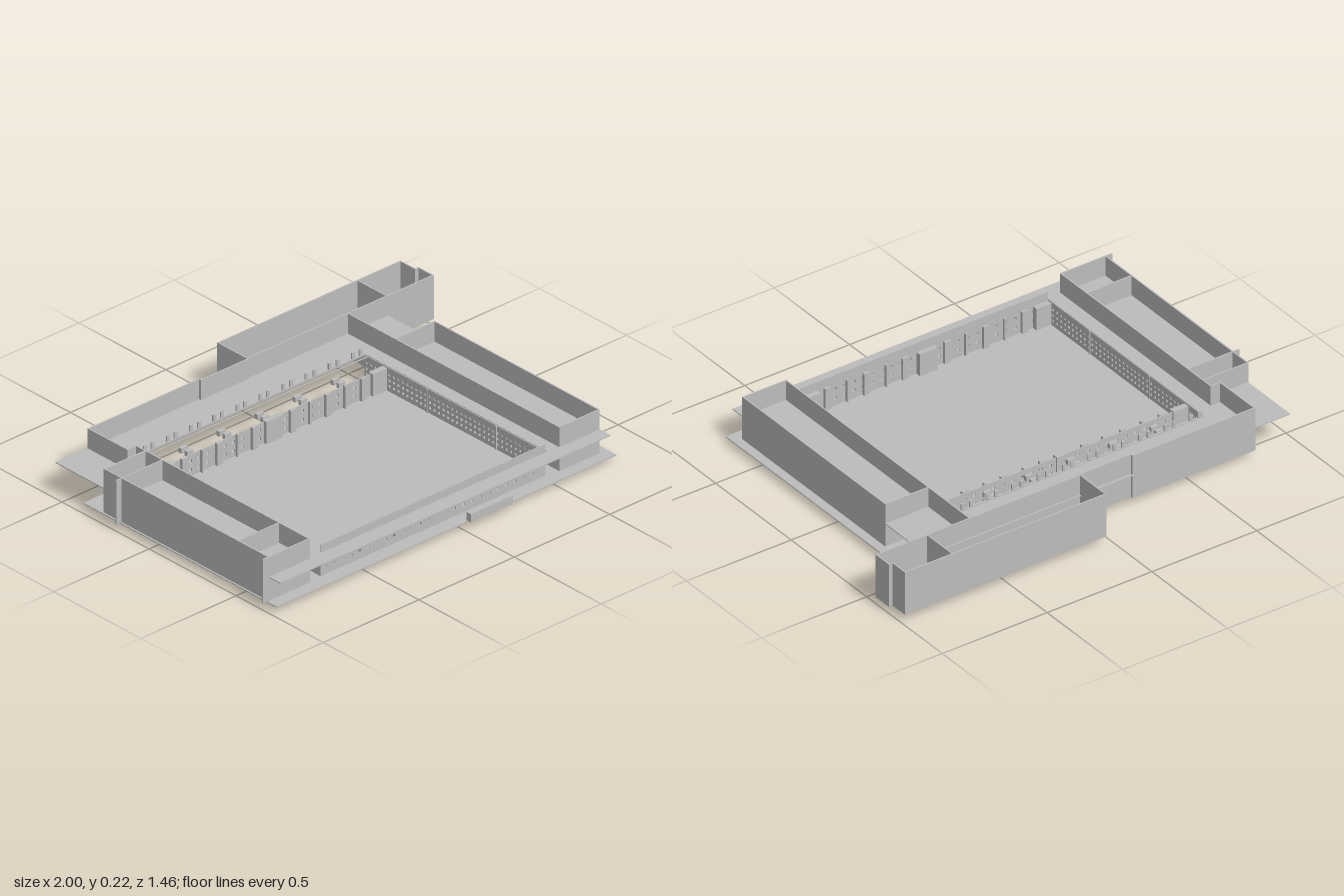
import * as THREE from 'three';

const grey = new THREE.MeshStandardMaterial({ color: 0xbcbcbc, side: THREE.DoubleSide });
grey.name = 'plainGrey';

const T = 0.006; // wall thickness
const BASE = 0.03, TOP = 0.225, DECK = 0.135;

function box(parent, name, x0, x1, y0, y1, z0, z1) {
  const mesh = new THREE.Mesh(new THREE.BoxGeometry(x1 - x0, y1 - y0, z1 - z0), grey);
  mesh.position.set((x0 + x1) / 2, (y0 + y1) / 2, (z0 + z1) / 2);
  mesh.name = name;
  parent.add(mesh);
}

// Axis-aligned walls following a list of [x, z] points
function walls(parent, name, points) {
  const h = T / 2;
  for (let i = 1; i < points.length; i++) {
    const [ax, az] = points[i - 1], [bx, bz] = points[i];
    box(parent, name, Math.min(ax, bx) - h, Math.max(ax, bx) + h, BASE, TOP,
      Math.min(az, bz) - h, Math.max(az, bz) + h);
  }
}

function rectangle(target, x0, y0, x1, y1) {
  target.moveTo(x0, y0);
  target.lineTo(x1, y0);
  target.lineTo(x1, y1);
  target.lineTo(x0, y1);
  target.closePath();
  return target;
}

// Thin wall pierced by rows of small windows
function piercedWall(name, length, y0, y1, columns, rows, size) {
  const shape = rectangle(new THREE.Shape(), 0, y0, length, y1);
  for (let c = 0; c < columns; c++) {
    for (const y of rows) {
      const x = (c + 0.5) * length / columns - size / 2;
      shape.holes.push(rectangle(new THREE.Path(), x, y, x + size, y + size));
    }
  }
  const mesh = new THREE.Mesh(
    new THREE.ExtrudeGeometry(shape, { depth: 0.004, bevelEnabled: false }), grey);
  mesh.name = name;
  return mesh;
}

export function createModel() {
  const model = new THREE.Group();
  model.name = 'courtyardBuilding';

  // Ground sheet
  box(model, 'ground', -0.98, 0.80, 0.027, 0.031, -0.40, 0.71);

  // Upper deck with the courtyard opening
  const deckShape = rectangle(new THREE.Shape(), -0.97, -0.72, 0.76, 0.57);
  deckShape.holes.push(rectangle(new THREE.Path(), -0.69, -0.65, 0.49, 0.39));
  const deck = new THREE.Mesh(
    new THREE.ExtrudeGeometry(deckShape, { depth: 0.004, bevelEnabled: false }), grey);
  deck.rotation.x = -Math.PI / 2;
  deck.position.y = DECK - 0.002;
  deck.name = 'deck';
  model.add(deck);

  // Wing on the model's right
  const rightWing = new THREE.Group();
  rightWing.name = 'rightWing';
  walls(rightWing, 'rightWingWall', [[-0.997, 0.652], [-0.757, 0.652], [-0.757, -0.34], [-0.802, -0.34]]);
  walls(rightWing, 'rightWingOuterWall', [[-0.97, 0.652], [-0.97, -0.288], [-0.757, -0.288]]);
  walls(rightWing, 'rightWingDivider', [[-0.97, 0.48], [-0.757, 0.48]]);
  walls(rightWing, 'rightWingDivider', [[-0.997, -0.19], [-0.757, -0.19]]);
  model.add(rightWing);

  // Wing on the model's left
  const leftWing = new THREE.Group();
  leftWing.name = 'leftWing';
  walls(leftWing, 'leftWingWall',
    [[0.552, -0.56], [0.552, 0.655], [0.757, 0.655], [0.757, -0.287], [0.552, -0.287]]);
  model.add(leftWing);

  // Back wall and the long rear annex
  const rear = new THREE.Group();
  rear.name = 'rearBuilding';
  walls(rear, 'rearWall',
    [[-0.802, -0.34], [-0.802, -0.565], [-0.222, -0.565], [-0.222, -0.555], [0.025, -0.555]]);
  walls(rear, 'annexWall', [[0.025, -0.56], [0.025, -0.727], [0.98, -0.727],
    [0.98, -0.643], [0.997, -0.643], [0.997, -0.56], [0.025, -0.56]]);
  walls(rear, 'annexDivider', [[0.755, -0.727], [0.755, -0.56]]);
  model.add(rear);

  // Courtyard facades
  const court = new THREE.Group();
  court.name = 'courtyard';
  const rows = [0.05, 0.075, 0.1];
  for (const x of [-0.692, 0.485]) {
    const side = piercedWall('courtyardSideWall', 1.035, 0.005, DECK, 40, rows, 0.01);
    side.rotation.y = -Math.PI / 2;
    side.position.set(x + 0.004, 0, -0.39);
    court.add(side);
    for (const z of [-0.03, 0.365]) {
      box(court, 'sidePost', x - 0.004, x + 0.008, 0.0, DECK, z - 0.004, z + 0.004);
    }
  }
  const front = piercedWall('courtyardFrontWall', 1.175, 0.0, 0.17, 26, [0.06, 0.1], 0.012);
  front.position.set(-0.69, 0, 0.643);
  court.add(front);
  const back = piercedWall('courtyardBackWall', 1.175, 0.02, 0.125, 26, [0.05, 0.09], 0.014);
  back.position.set(-0.69, 0, -0.28);
  court.add(back);

  // Pilasters, mirrored about the courtyard's centre line: [offset, width]
  const centre = -0.103;
  const pilasters = [[0, 0.085], [0.1, 0.028], [0.19, 0.008], [0.285, 0.028],
    [0.375, 0.008], [0.47, 0.028], [0.552, 0.075]];
  for (const [offset, width] of pilasters) {
    for (const s of offset ? [-1, 1] : [1]) {
      const x = centre + s * offset, depth = width > 0.05 ? 0.026 : 0.014;
      box(court, 'backPilaster', x - width / 2, x + width / 2, 0.03, 0.13, -0.262 - depth, -0.262);
      box(court, 'frontPilaster', x - width / 2, x + width / 2, 0.03, 0.13, 0.645 - depth, 0.645);
    }
  }

  // Paired brackets behind the back facade
  for (let i = 0; i < 5; i++) {
    const x = -0.505 + i * 0.199;
    for (const z of [-0.346, -0.313]) {
      box(court, 'bracket', x - 0.017, x + 0.017, 0.1, 0.122, z - 0.008, z + 0.008);
    }
  }

  // Notched parapet along the back edge of the opening
  box(court, 'backParapet', -0.69, 0.485, DECK, 0.142, -0.394, -0.388);
  box(court, 'backRail', -0.69, 0.485, 0.13, 0.134, -0.379, -0.375);
  for (let i = 0; i < 10; i++) {
    const x = -0.645 + i * 0.121;
    for (const d of [-0.02, 0.02]) {
      box(court, 'parapetPost', x + d - 0.008, x + d + 0.008, DECK, 0.17, -0.394, -0.388);
    }
  }
  model.add(court);

  // Low box at the front entrance
  box(model, 'entranceBox', 0.02, 0.24, 0.033, 0.07, 0.704, 0.729);

  return model;
}
